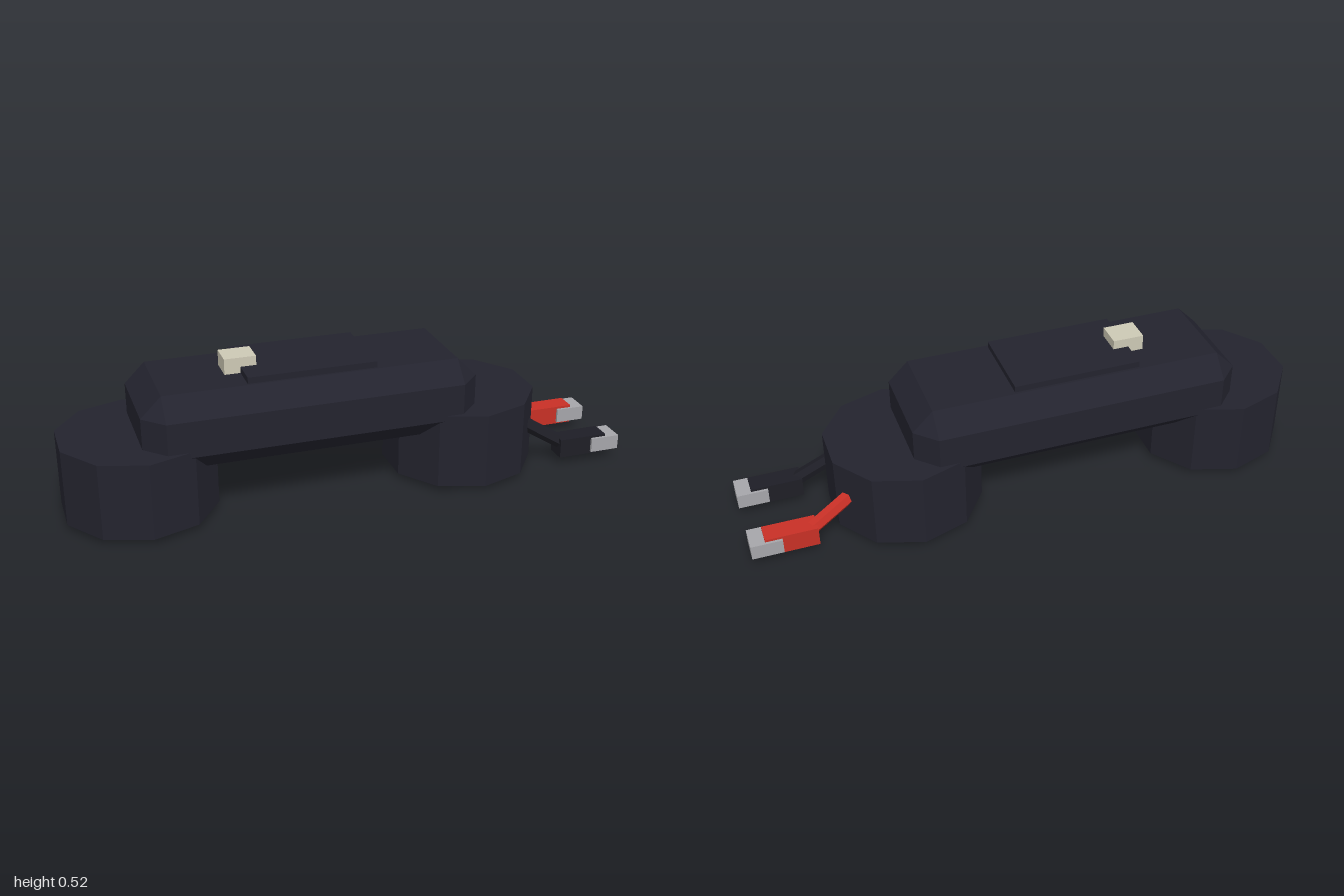
import * as THREE from 'three';
import { ConvexGeometry } from 'three/addons/geometries/ConvexGeometry.js';

const mat = (name, color) => {
  const m = new THREE.MeshStandardMaterial({ color, flatShading: true });
  m.name = name;
  return m;
};

export function createModel() {
  const model = new THREE.Group();
  model.name = 'batteryPack';
  const casing = mat('dark casing', 0x23232e);
  const rubber = mat('black rubber', 0x1e1e26);
  const red = mat('red', 0xc83026);
  const metal = mat('grey metal', 0xa6a6aa);
  const cream = mat('cream', 0xcdc9b5);

  const add = (name, geometry, material, x, y, z, parent = model) => {
    const mesh = new THREE.Mesh(geometry, material);
    mesh.name = name;
    mesh.position.set(x, y, z);
    parent.add(mesh);
    return mesh;
  };
  const box = (w, h, d) => new THREE.BoxGeometry(w, h, d);

  // Box with every edge and corner cut at 45 degrees
  const chamferedBox = (hx, hy, hz, c) => {
    const points = [];
    for (const sx of [-1, 1]) for (const sy of [-1, 1]) for (const sz of [-1, 1]) {
      points.push(
        new THREE.Vector3(sx * hx, sy * (hy - c), sz * (hz - c)),
        new THREE.Vector3(sx * (hx - c), sy * hy, sz * (hz - c)),
        new THREE.Vector3(sx * (hx - c), sy * (hy - c), sz * hz));
    }
    return new ConvexGeometry(points);
  };

  // Main bar with a raised panel and a button
  add('body', chamferedBox(0.585, 0.135, 0.225, 0.071), casing, -0.16, 0.335, 0);
  add('topPanel', box(0.45, 0.032, 0.289), casing, -0.16, 0.476, 0);
  add('button', box(0.11, 0.065, 0.092), cream, -0.385, 0.4925, 0);

  // Ten-sided end pods on feet
  for (const [side, x] of [['right', -0.743], ['left', 0.428]]) {
    add(side + 'Pod', new THREE.CylinderGeometry(0.271, 0.271, 0.27, 10), casing, x, 0.155, 0);
    add(side + 'Foot', new THREE.CylinderGeometry(0.199, 0.199, 0.03, 10), rubber, x, 0.015, 0);
  }

  // Paired cables with a plug and a metal tip
  for (const [name, side, material] of [['black', 1, rubber], ['red', -1, red]]) {
    const cable = new THREE.Group();
    cable.name = name + 'Cable';
    model.add(cable);
    const start = new THREE.Vector3(0.6, 0.19, side * 0.107);
    const end = new THREE.Vector3(0.8, 0.07, side * 0.14);
    const direction = end.clone().sub(start);
    const middle = start.clone().add(end).multiplyScalar(0.5);
    const wire = add('wire', new THREE.CylinderGeometry(0.025, 0.025, direction.length(), 6),
      material, middle.x, middle.y, middle.z, cable);
    wire.quaternion.setFromUnitVectors(new THREE.Vector3(0, 1, 0), direction.normalize());
    add('plug', box(0.18, 0.07, 0.072), material, 0.86, 0.065, side * 0.136, cable);
    add('tip', box(0.108, 0.053, 0.091), metal, 0.946, 0.065, side * 0.136, cable);
  }
  return model;
}
